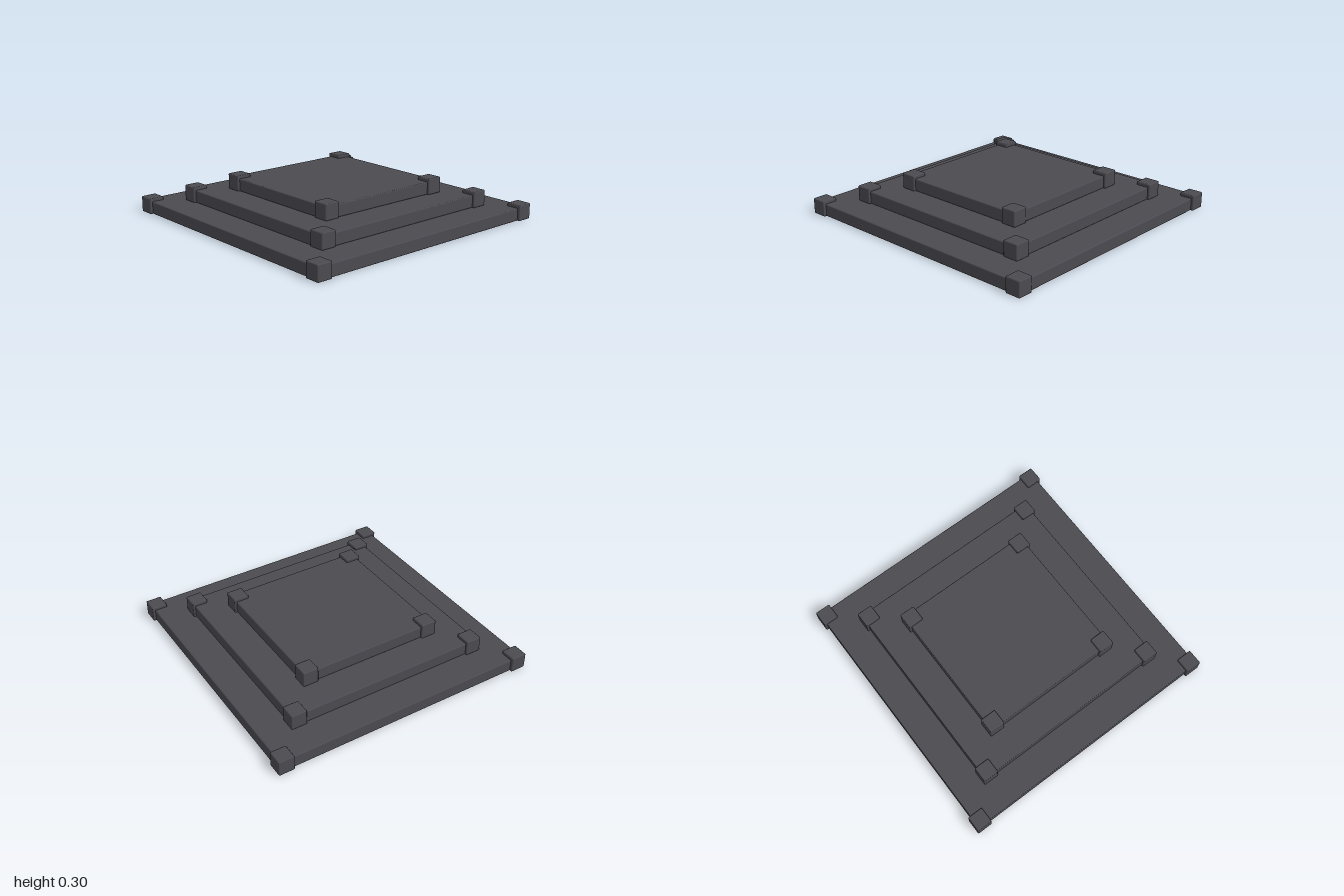
import * as THREE from 'three';
import { RoundedBoxGeometry } from 'three/addons/geometries/RoundedBoxGeometry.js';

const STEP = 0.092; // height of one tier
const BLOCK = 0.116; // edge of a corner block

export function createModel() {
  const model = new THREE.Group();
  model.name = 'steppedPlatform';
  const stone = new THREE.MeshStandardMaterial({ color: 0x4a4a50 });
  stone.name = 'dark stone';

  // Box with softly worn edges, standing on height y
  const addBox = (parent, name, w, h, x, y, z) => {
    const mesh = new THREE.Mesh(new RoundedBoxGeometry(w, h, w, 2, 0.008), stone);
    mesh.name = name;
    mesh.position.set(x, y + h / 2, z);
    parent.add(mesh);
  };

  // Three square tiers, each with a block at every corner
  [0.98, 0.753, 0.525].forEach((half, i) => {
    const tier = new THREE.Group();
    tier.name = `tier${i + 1}`;
    const y = i * STEP;
    addBox(tier, 'slab', half * 2, STEP, 0, y, 0);
    const c = half + 0.02 - BLOCK / 2 - (i ? 0.003 : 0);
    for (const sx of [-1, 1]) {
      for (const sz of [-1, 1]) {
        addBox(tier, 'cornerBlock', BLOCK, BLOCK, sx * c, y, sz * c);
      }
    }
    model.add(tier);
  });

  return model;
}
